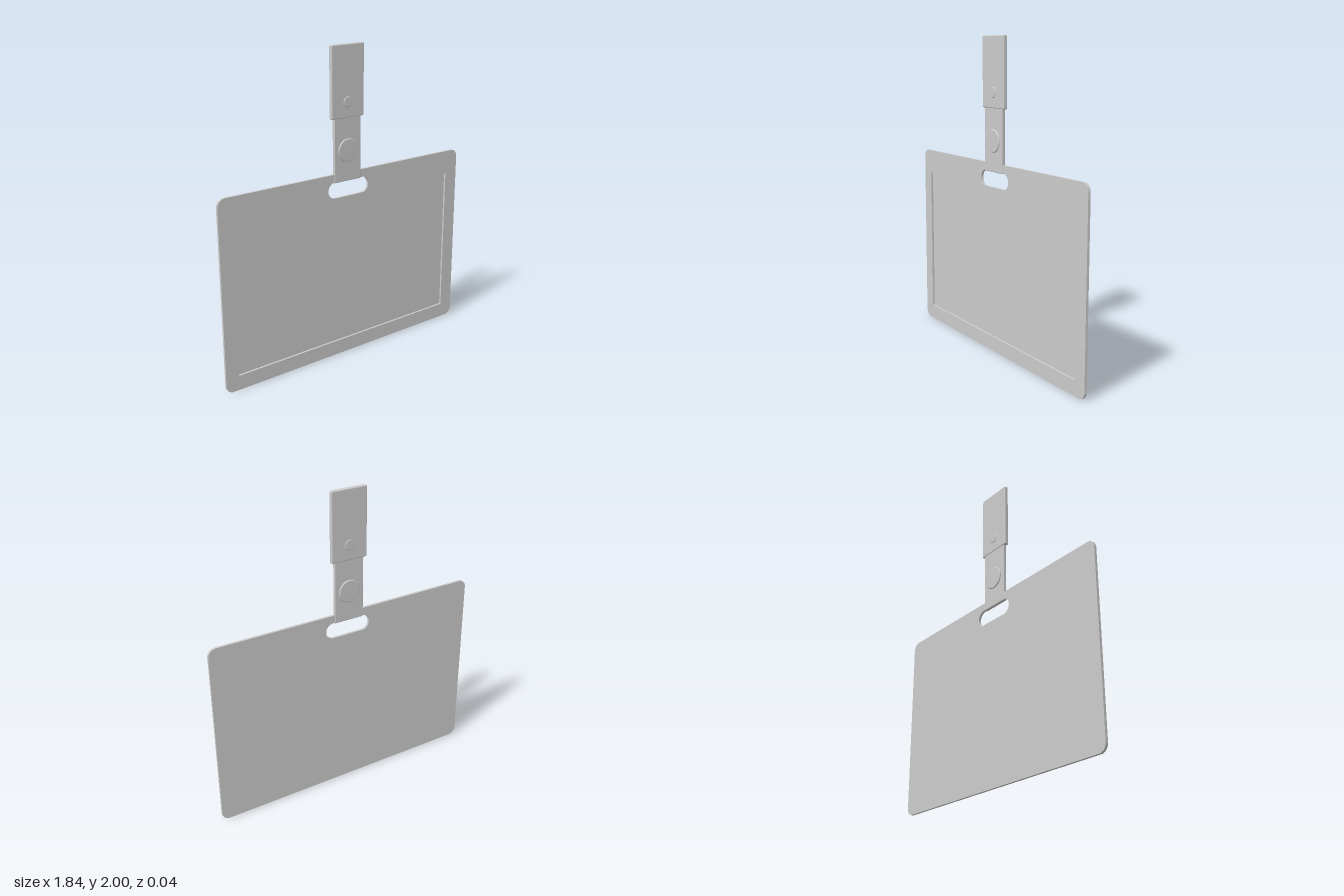
import * as THREE from 'three';
import { RoundedBoxGeometry } from 'three/addons/geometries/RoundedBoxGeometry.js';

const material = new THREE.MeshStandardMaterial({ color: 0xcccccc });
const CX = -0.012; // strap centre line

// Rounded rectangle traced on a Shape or Path
function roundedRect(path, x0, y0, x1, y1, r) {
  path.absarc(x1 - r, y0 + r, r, -Math.PI / 2, 0, false);
  path.absarc(x1 - r, y1 - r, r, 0, Math.PI / 2, false);
  path.absarc(x0 + r, y1 - r, r, Math.PI / 2, Math.PI, false);
  path.absarc(x0 + r, y0 + r, r, Math.PI, Math.PI * 1.5, false);
  path.closePath();
  return path;
}

function cardOutline() {
  const shape = roundedRect(new THREE.Shape(), -0.918, 0, 0.918, 1.22, 0.05);
  // Slot for the strap
  shape.holes.push(roundedRect(new THREE.Path(), -0.158, 1.068, 0.15, 1.17, 0.05));
  return shape;
}

function slab(shape, z0, z1) {
  const geometry = new THREE.ExtrudeGeometry(shape, { depth: z1 - z0, bevelEnabled: false, curveSegments: 12 });
  return geometry.translate(0, 0, z0);
}

export function createModel() {
  const group = new THREE.Group();
  const add = (name, geometry) => {
    const mesh = new THREE.Mesh(geometry, material);
    mesh.name = name;
    group.add(mesh);
    return mesh;
  };

  // Holder: raised frame around the window, on a thin backing
  const frame = cardOutline();
  const window = new THREE.Path();
  window.moveTo(-0.83, 0.095).lineTo(0.823, 0.095).lineTo(0.823, 1.066).lineTo(-0.83, 1.066).closePath();
  frame.holes.push(window);
  add('cardFrame', slab(frame, -0.005, 0.008));
  add('cardBacking', slab(cardOutline(), -0.008, -0.005));

  // Strap folded through the slot
  add('strap', new RoundedBoxGeometry(0.2, 0.42, 0.022, 3, 0.005)).position.set(CX, 1.375, 0);

  // Clip plate at the top
  add('clip', new RoundedBoxGeometry(0.242, 0.44, 0.028, 3, 0.007)).position.set(CX, 1.78, 0);

  // Snap and rivet, domed on both faces
  const button = (name, y, r, half) => {
    const edge = 0.007;
    const profile = [new THREE.Vector2(0, -half)];
    for (let i = 0; i <= 8; i++) {
      const a = -Math.PI / 2 + (i / 8) * Math.PI;
      const side = a < 0 ? -1 : 1;
      profile.push(new THREE.Vector2(r - edge * (1 - Math.cos(a)) , side * (half - edge) + edge * Math.sin(a)));
    }
    profile.push(new THREE.Vector2(0, half));
    const geometry = new THREE.LatheGeometry(profile, 40).rotateX(Math.PI / 2);
    add(name, geometry).position.set(CX, y, 0);
  };
  button('snapButton', 1.36, 0.073, 0.018);
  button('rivet', 1.657, 0.035, 0.0175);

  return group;
}
